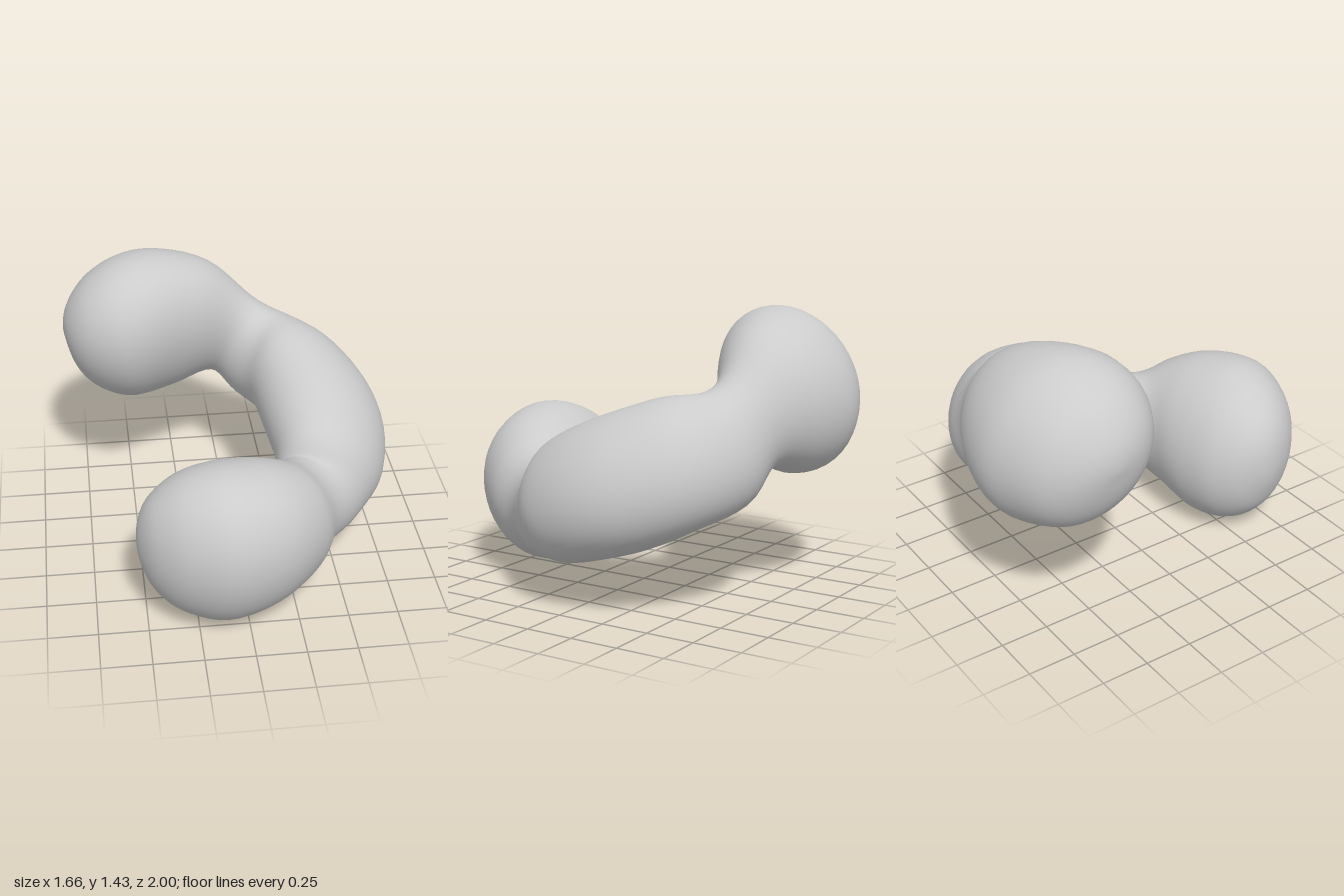
import * as THREE from 'three';
import { mergeVertices } from 'three/addons/utils/BufferGeometryUtils.js';

// Cross-sections along the bent body:
// [outer edge x, y, z,  inner edge x, y, z,  half height]
const sections = [
  // back bulb
  [-0.83, 0.98, -0.55, -0.83, 0.98, -0.55, 0],
  [-0.80, 0.96, -0.71, -0.80, 1.01, -0.39, 0.16],
  [-0.70, 0.94, -0.86, -0.71, 1.04, -0.27, 0.30],
  [-0.55, 0.935, -0.95, -0.56, 1.055, -0.20, 0.39],
  [-0.36, 0.935, -1.00, -0.40, 1.065, -0.22, 0.415],
  [-0.12, 0.91, -0.95, -0.17, 1.02, -0.34, 0.37],
  // back neck and middle lobe
  [0.12, 0.85, -0.82, 0.03, 0.92, -0.45, 0.25],
  [0.36, 0.73, -0.77, 0.11, 0.83, -0.38, 0.29],
  [0.62, 0.655, -0.61, 0.15, 0.795, -0.26, 0.31],
  [0.78, 0.57, -0.36, 0.17, 0.72, -0.13, 0.325],
  [0.825, 0.495, -0.10, 0.19, 0.655, 0.00, 0.32],
  [0.765, 0.42, 0.16, 0.21, 0.58, 0.12, 0.30],
  [0.62, 0.39, 0.35, 0.20, 0.48, 0.19, 0.255],
  // front neck and front bulb
  [0.48, 0.41, 0.50, 0.15, 0.44, 0.235, 0.26],
  [0.39, 0.44, 0.70, 0.04, 0.40, 0.26, 0.335],
  [0.20, 0.47, 0.90, -0.10, 0.39, 0.26, 0.405],
  [-0.07, 0.48, 1.00, -0.22, 0.38, 0.275, 0.43],
  [-0.30, 0.48, 0.94, -0.36, 0.39, 0.32, 0.375],
  [-0.45, 0.47, 0.82, -0.47, 0.41, 0.41, 0.265],
  [-0.52, 0.45, 0.70, -0.525, 0.43, 0.51, 0.135],
  [-0.54, 0.44, 0.60, -0.54, 0.44, 0.60, 0],
];

// Swapping the edges of a section continues the outline smoothly round a tip
const swapped = ([a, b, c, d, e, f, h]) => [d, e, f, a, b, c, -h];

function loftBody(steps, sides) {
  const n = sections.length;
  const rows = [swapped(sections[1]), ...sections, swapped(sections[n - 2])];
  const curve = (pick) => new THREE.CatmullRomCurve3(rows.map(pick), false, 'catmullrom', 0.5);
  const outer = curve((r) => new THREE.Vector3(r[0], r[1], r[2]));
  const inner = curve((r) => new THREE.Vector3(r[3], r[4], r[5]));
  const height = curve((r) => new THREE.Vector3(r[6], 0, 0));
  const centre = (t) => outer.getPoint(t).add(inner.getPoint(t)).multiplyScalar(0.5);

  const positions = [];
  const index = [];
  const total = (n - 1) * steps;
  for (let i = 0; i <= total; i++) {
    const t = (1 + i / steps) / (n + 1);
    const c = centre(t);
    // u spans the section from inner to outer edge, v spans its height
    const u = outer.getPoint(t).sub(inner.getPoint(t)).multiplyScalar(0.5);
    const level = new THREE.Vector3(u.x, 0, u.z);
    // A wide sampling step keeps the sections from twisting at the necks
    const along = centre(t + 0.03).sub(centre(t - 0.03));
    const v = along.cross(level).normalize().multiplyScalar(height.getPoint(t).x);
    for (let j = 0; j < sides; j++) {
      const angle = (j / sides) * Math.PI * 2;
      const p = c.clone().addScaledVector(u, Math.cos(angle)).addScaledVector(v, Math.sin(angle));
      positions.push(p.x, p.y, p.z);
      if (i === total) continue;
      const a = i * sides + j;
      const b = i * sides + ((j + 1) % sides);
      index.push(a, b, a + sides, b, b + sides, a + sides);
    }
  }
  const geometry = new THREE.BufferGeometry();
  geometry.setAttribute('position', new THREE.Float32BufferAttribute(positions, 3));
  geometry.setIndex(index);
  // Merging joins each tip ring into a single point
  const merged = mergeVertices(geometry, 1e-4);
  merged.computeVertexNormals();
  return merged;
}

export function createModel() {
  const group = new THREE.Group();
  group.name = 'bentDoubleBulb';
  const body = new THREE.Mesh(
    loftBody(5, 48),
    new THREE.MeshStandardMaterial({ color: 0xcccccc }),
  );
  body.name = 'body';
  group.add(body);
  return group;
}
